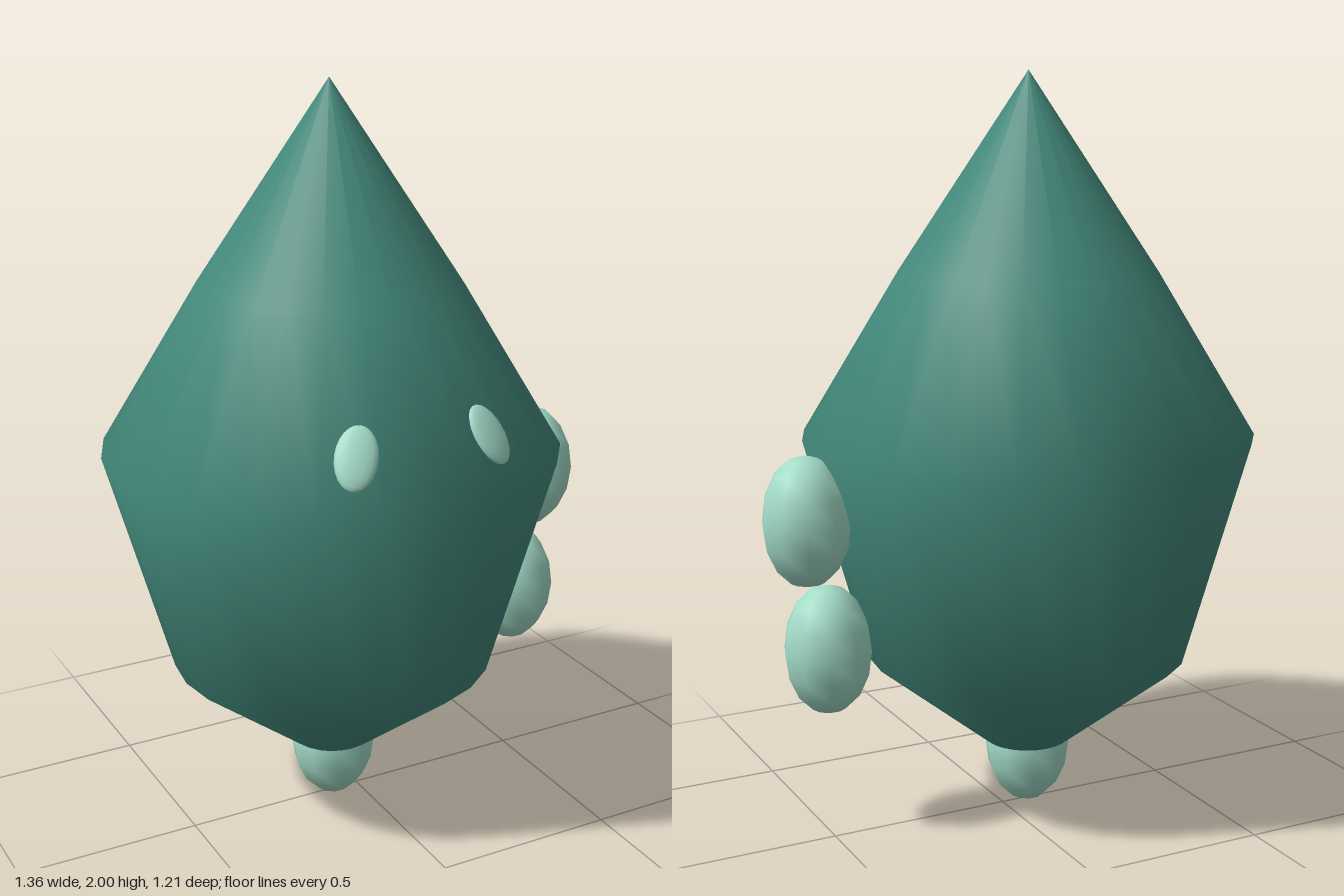
import * as THREE from 'three';

export function createModel() {
  const model = new THREE.Group();
  const bodyGreen = new THREE.MeshStandardMaterial({ color: 0x43897b });
  bodyGreen.name = 'deep teal';
  const beadGreen = new THREE.MeshStandardMaterial({ color: 0xa3dcc8 });
  beadGreen.name = 'pale mint';

  const axisX = -0.075; // the body sits off centre, balancing the side beads

  // Pointed bulb body, closed underneath
  const profile = [[0.115, 0.185], [0.435, 0.44], [0.605, 1.05], [0.345, 1.48], [0, 2]]
    .map(([r, y]) => new THREE.Vector2(r, y));
  const body = new THREE.Mesh(new THREE.LatheGeometry(profile, 24), bodyGreen);
  body.name = 'body';
  body.position.x = axisX;
  model.add(body);

  const base = new THREE.Mesh(new THREE.CircleGeometry(0.115, 24), bodyGreen);
  base.name = 'bodyBase';
  base.rotation.x = Math.PI / 2;
  base.position.set(axisX, 0.185, 0);
  model.add(base);

  // Egg-shaped beads: one below, two on the left side
  const beadShape = new THREE.SphereGeometry(1, 10, 8).scale(0.117, 0.173, 0.117);
  const beads = [
    ['bottomBead', axisX, 0.175],
    ['upperSideBead', 0.56, 0.873],
    ['lowerSideBead', 0.509, 0.526],
  ];
  for (const [name, x, y] of beads) {
    const bead = new THREE.Mesh(beadShape, beadGreen);
    bead.name = name;
    bead.position.set(x, y, 0);
    model.add(bead);
  }

  // Flattened eyes lying on the sloping face
  const eyeShape = new THREE.SphereGeometry(1, 16, 12).scale(0.053, 0.081, 0.018);
  for (const side of [-1, 1]) {
    const eye = new THREE.Mesh(eyeShape, beadGreen);
    eye.name = side > 0 ? 'leftEye' : 'rightEye';
    eye.position.set(axisX + side * 0.183, 1.187, 0.486);
    eye.rotation.set(-0.54, side * 0.36, side * 0.2, 'YXZ');
    model.add(eye);
  }

  return model;
}
